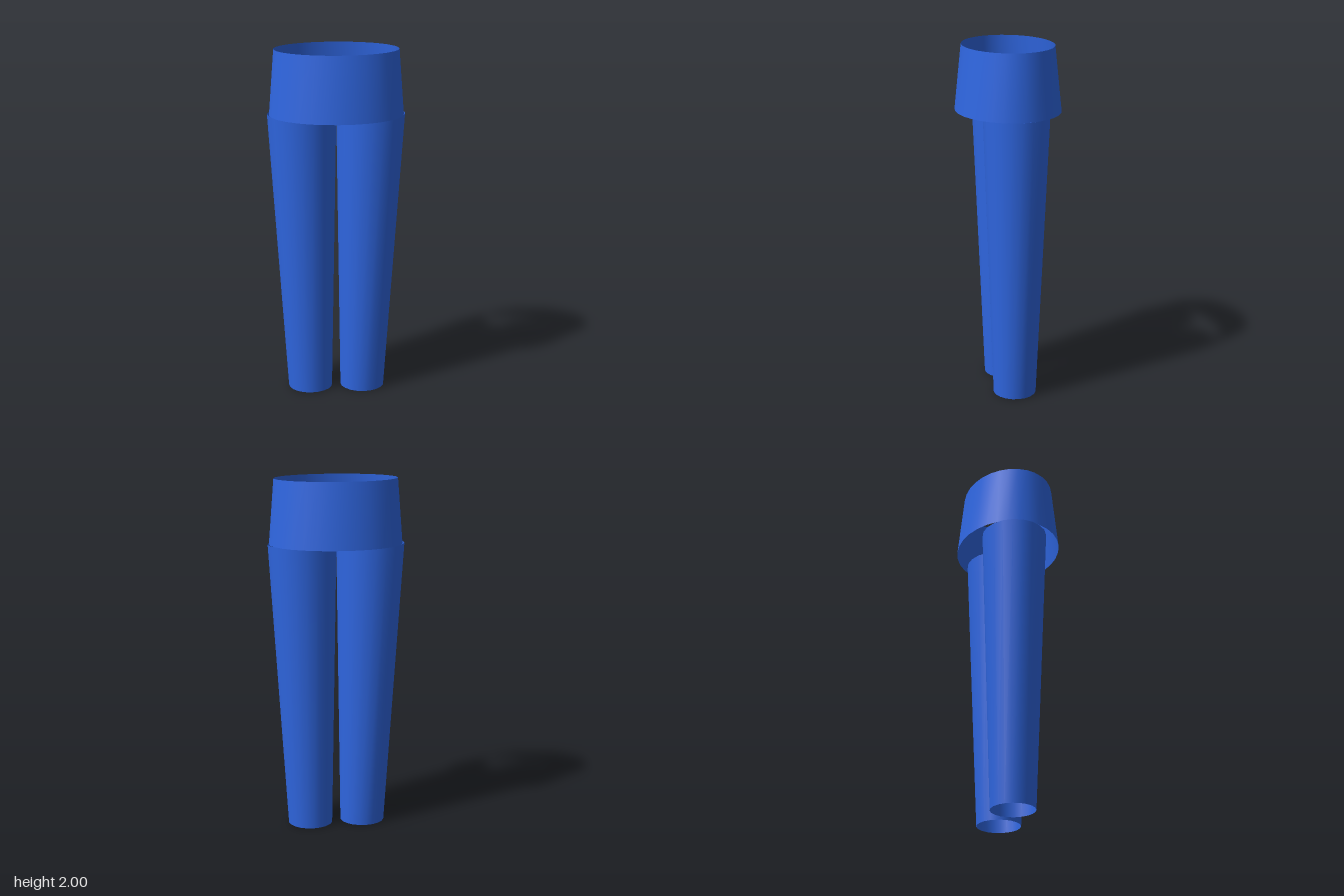
import * as THREE from 'three';
import { mergeVertices } from 'three/addons/utils/BufferGeometryUtils.js';

// Open elliptical tube between a bottom and a top ring, each { x, z, rx, rz, y }
function taperedTube(bottom, top, sides) {
  let geo = new THREE.CylinderGeometry(1, 1, 1, sides, 1, true);
  const p = geo.attributes.position;
  for (let i = 0; i < p.count; i++) {
    const r = p.getY(i) > 0 ? top : bottom;
    p.setXYZ(i, r.x + p.getX(i) * r.rx, r.y, r.z + p.getZ(i) * r.rz);
  }
  // Weld the seam so the shading runs smoothly all the way round
  geo.deleteAttribute('uv');
  geo.deleteAttribute('normal');
  geo = mergeVertices(geo, 1e-5);
  geo.computeVertexNormals();
  return geo;
}

export function createModel() {
  const model = new THREE.Group();
  model.name = 'trousers';
  const blue = new THREE.MeshStandardMaterial({ color: 0x2f66e0, side: THREE.DoubleSide });
  blue.name = 'blue cloth';

  const add = (name, geometry) => {
    const mesh = new THREE.Mesh(geometry, blue);
    mesh.name = name;
    model.add(mesh);
  };

  // Hip section, open at the waist and underneath
  add('hips', taperedTube(
    { x: 0, z: 0, rx: 0.376, rz: 0.295, y: 1.635 },
    { x: 0, z: 0, rx: 0.347, rz: 0.256, y: 2 }, 30));

  // Legs taper and lean inward towards the ankles
  for (const [name, s] of [['leftLeg', 1], ['rightLeg', -1]]) {
    add(name, taperedTube(
      { x: s * 0.153, z: -0.011, rx: 0.128, rz: 0.123, y: 0 },
      { x: s * 0.193, z: -0.011, rx: 0.193, rz: 0.184, y: 1.637 }, 20));
  }
  return model;
}
